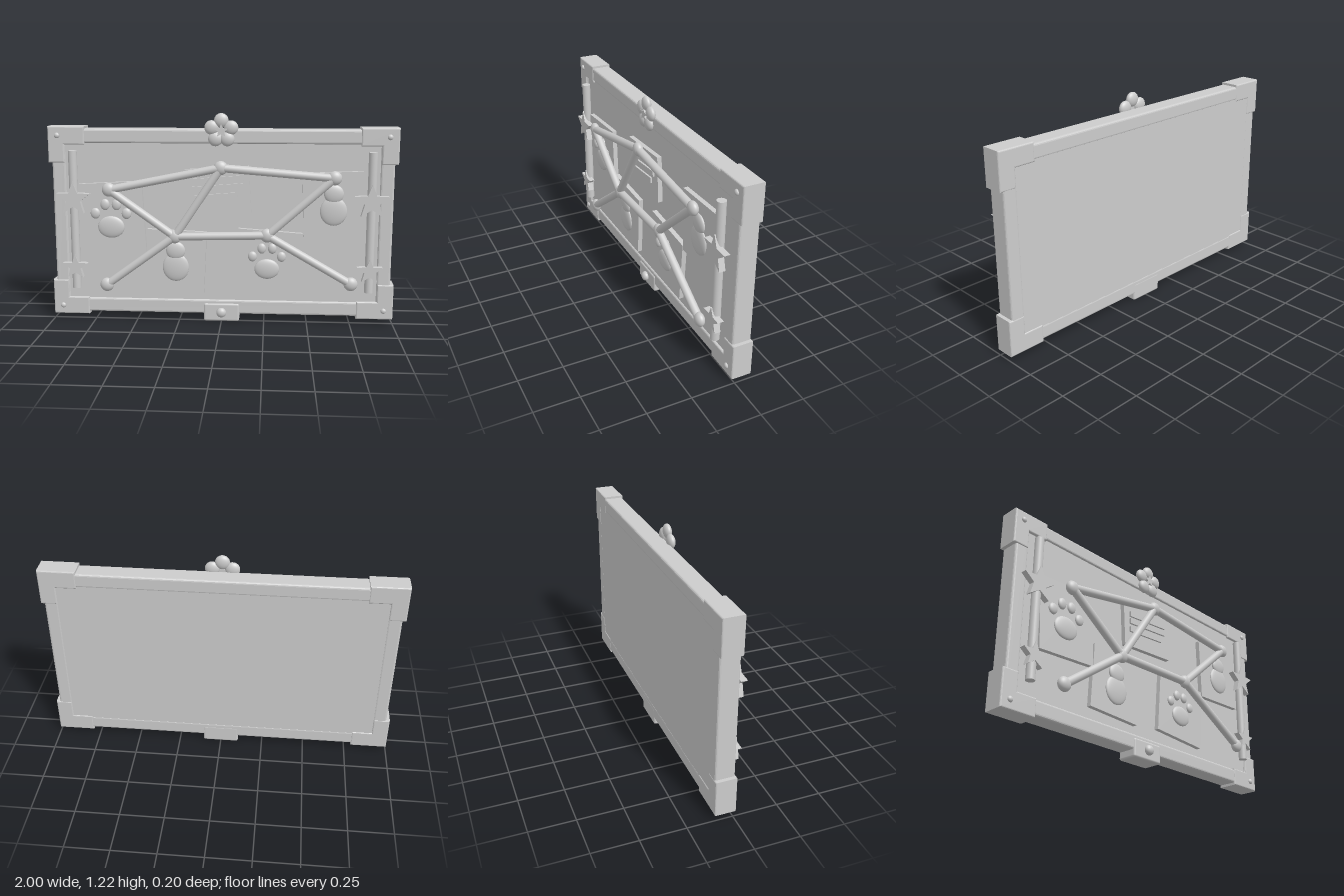
import * as THREE from 'three';
import { RoundedBoxGeometry } from 'three/addons/geometries/RoundedBoxGeometry.js';

export function createModel() {
  const root = new THREE.Group();
  root.name = 'noticeBoard';
  const grey = new THREE.MeshStandardMaterial({ color: 0xcccccc });
  grey.name = 'light grey';

  const add = (name, geo, x, y, z, parent = root) => {
    const m = new THREE.Mesh(geo, grey);
    m.name = name;
    m.position.set(x, y, z);
    parent.add(m);
    return m;
  };
  const blob = (name, x, y, z, rx, ry, rz, parent) =>
    add(name, new THREE.SphereGeometry(1, 28, 18).scale(rx, ry, rz), x, y, z, parent);
  const polygon = pts => new THREE.Shape(pts.map(p => new THREE.Vector2(...p)));

  // Extrudes a shape between two depths, with a small rounded bevel kept inside the outline
  const slab = (shape, z0, z1, bevel = 0) =>
    new THREE.ExtrudeGeometry(shape, {
      depth: z1 - z0 - 2 * bevel, bevelEnabled: bevel > 0, bevelThickness: bevel,
      bevelSize: bevel, bevelOffset: -bevel, bevelSegments: 3,
    }).translate(0, 0, z0 + bevel);

  const star = (name, x, y, z, r, depth, parent) => {
    const pts = [];
    for (let i = 0; i < 10; i++) {
      const a = Math.PI / 2 + (i * Math.PI) / 5, k = i % 2 ? r * 0.42 : r;
      pts.push([Math.cos(a) * k, Math.sin(a) * k]);
    }
    add(name, slab(polygon(pts), -depth / 2, depth / 2), x, y, z, parent);
  };

  // Frame and recessed panel
  const outline = polygon([[-0.98, 0.045], [0.98, 0.045], [0.98, 1.132], [-0.98, 1.132]]);
  outline.holes.push(polygon([[-0.9, 0.13], [-0.9, 1.05], [0.9, 1.05], [0.9, 0.13]]));
  add('frame', slab(outline, -0.098, 0.014, 0.012), 0, 0, 0);
  add('panel', new THREE.BoxGeometry(1.84, 0.96, 0.1), 0, 0.59, -0.046);

  // L-shaped corner guards with round studs
  for (const sx of [-1, 1]) {
    for (const sy of [-1, 1]) {
      const cx = sx, cy = 0.5875 + sy * 0.5575;
      const pts = [[0, 0], [0.213, 0], [0.213, 0.104], [0.095, 0.104], [0.095, 0.208], [0, 0.208]]
        .map(([x, y]) => [cx - sx * x, cy - sy * y]);
      add('cornerGuard', slab(polygon(pts), -0.1, 0.019, 0.008), 0, 0, 0);
      blob('cornerStud', sx * 0.945, cy - sy * 0.052, 0.019, 0.016, 0.016, 0.012);
    }
  }

  // Clasp on the lower edge
  add('clasp', new RoundedBoxGeometry(0.21, 0.108, 0.12, 3, 0.012), 0, 0.055, -0.039);
  blob('claspKnob', 0, 0.057, 0.03, 0.029, 0.029, 0.022);

  // Flower on the upper edge
  const flower = new THREE.Group();
  flower.name = 'flower';
  flower.position.set(0, 1.125, 0.021);
  root.add(flower);
  for (let i = 0; i < 5; i++) {
    const a = Math.PI / 2 + (i * Math.PI * 2) / 5;
    blob('petal', Math.cos(a) * 0.058, Math.sin(a) * 0.058, 0, 0.041, 0.041, 0.023, flower);
  }
  star('flowerStar', 0, 0, 0.008, 0.042, 0.022, flower);

  // Side posts with stars
  for (const s of [-1, 1]) {
    add('sidePost', new THREE.CylinderGeometry(0.025, 0.025, 0.81, 24), s * 0.852, 0.605, 0.04);
    star('largeStar', s * 0.852, 0.732, 0.053, 0.102, 0.035);
    star('smallStar', s * 0.852, 0.33, 0.053, 0.076, 0.035);
  }

  // Pinned papers: x, y, width, height, tilt
  for (const [x, y, w, h, tilt] of [
    [-0.63, 0.615, 0.365, 0.42, 0.055],
    [-0.02, 0.78, 0.37, 0.27, 0.06],
    [0.64, 0.71, 0.345, 0.37, 0.04],
    [-0.265, 0.365, 0.345, 0.365, -0.045],
    [0.27, 0.37, 0.37, 0.365, -0.07],
  ]) {
    add('paper', new THREE.BoxGeometry(w, h, 0.03), x, y, 0.016).rotation.z = tilt;
  }

  // Written strips on the middle paper
  [[0.847, 0.29], [0.802, 0.29], [0.75, 0.26]].forEach(([y, w]) => {
    add('writtenStrip', new THREE.BoxGeometry(w, 0.032, 0.012), -0.165 + w / 2, y, 0.036)
      .rotation.z = 0.08;
  });

  // Paw prints
  for (const [x, y, k] of [[-0.64, 0.565, 1], [0.265, 0.328, 0.92]]) {
    blob('pawPad', x, y, 0.033, 0.078 * k, 0.064 * k, 0.018);
    for (const s of [-1, 1]) {
      blob('outerToe', x + s * 0.091 * k, y + 0.08 * k, 0.033, 0.028 * k, 0.032 * k, 0.015);
      blob('innerToe', x + s * 0.033 * k, y + 0.132 * k, 0.033, 0.027 * k, 0.033 * k, 0.015);
    }
  }

  // Small round-bodied figures
  for (const [x, y] of [[-0.265, 0.33], [0.64, 0.672]]) {
    blob('figureBody', x, y, 0.033, 0.077, 0.083, 0.018);
    blob('figureHead', x, y + 0.1, 0.035, 0.056, 0.054, 0.018);
  }

  // Web of rods joining round pins
  const pinZ = 0.073;
  const pins = [[-0.64, 0.79], [0, 0.92], [0.64, 0.868], [-0.265, 0.522], [0.265, 0.535],
    [-0.665, 0.23], [0.745, 0.257]];
  for (const [x, y] of pins) blob('pin', x, y, pinZ, 0.04, 0.04, 0.027);
  for (const [a, b] of [[0, 1], [1, 2], [0, 3], [1, 3], [3, 4], [4, 2], [3, 5], [4, 6]]) {
    const [ax, ay] = pins[a], [bx, by] = pins[b];
    const length = Math.hypot(bx - ax, by - ay);
    add('rod', new THREE.CylinderGeometry(0.023, 0.023, length, 20), (ax + bx) / 2, (ay + by) / 2, pinZ)
      .rotation.z = Math.atan2(by - ay, bx - ax) - Math.PI / 2;
  }

  return root;
}
